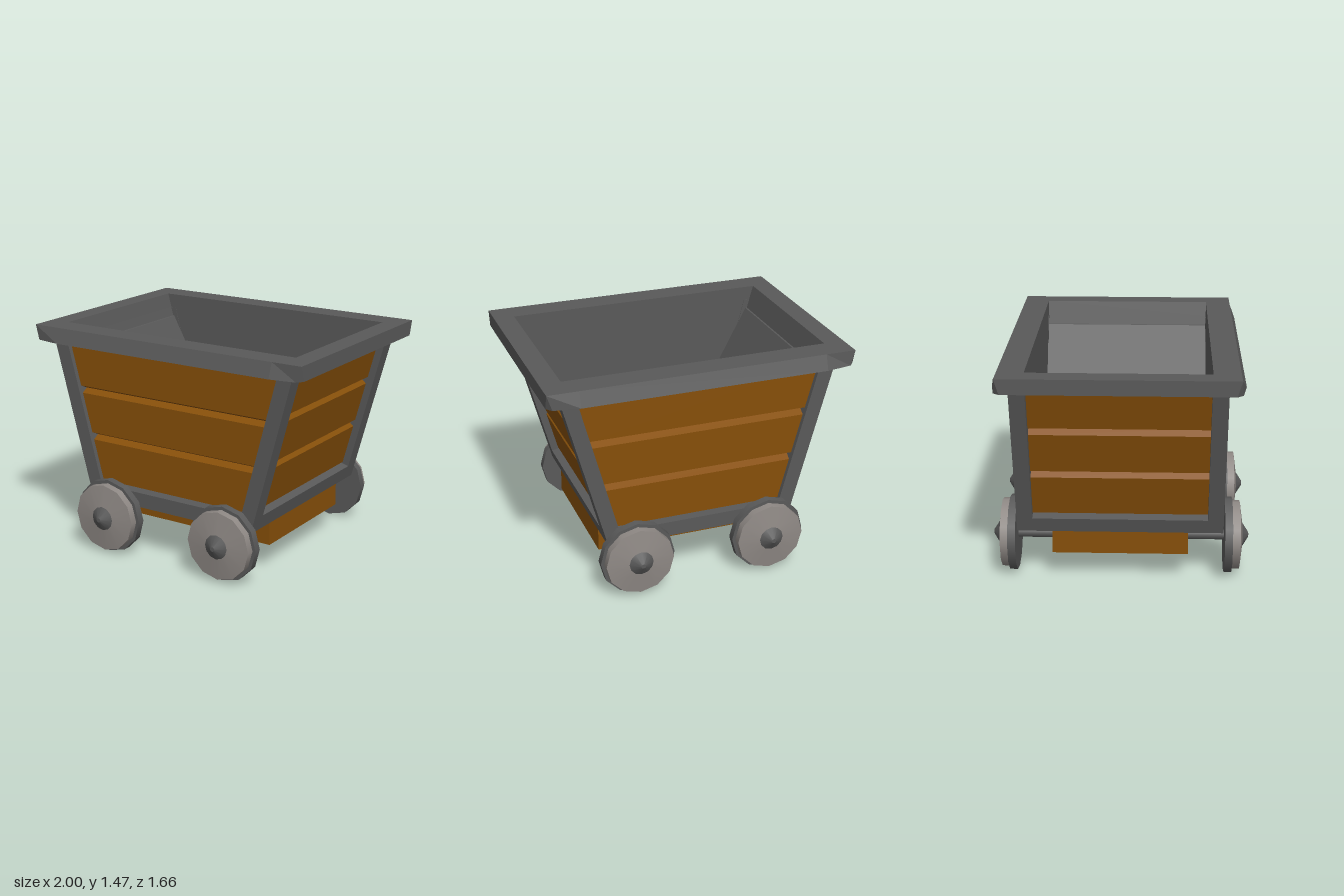
import * as THREE from 'three';

const GREY = new THREE.MeshStandardMaterial({ color: 0x595959 });
const BROWN = new THREE.MeshStandardMaterial({ color: 0x864f09 });
const STEEL = new THREE.MeshStandardMaterial({ color: 0x8f8985 });
GREY.name = 'iron grey';
BROWN.name = 'wood brown';
STEEL.name = 'wheel grey';

const TOP = 1.37, BASE = 0.33, SLANT = 0.27;
const outerX = (y) => 0.62 + (y - BASE) * SLANT; // sloping end of the tub

function add(parent, name, geometry, material) {
  const mesh = new THREE.Mesh(geometry, material);
  mesh.name = name;
  parent.add(mesh);
  return mesh;
}

// Flat-shaded surface from four-cornered faces
function quads(list) {
  const pos = [];
  for (const [a, b, c, d] of list) pos.push(...a, ...b, ...c, ...a, ...c, ...d);
  const g = new THREE.BufferGeometry();
  g.setAttribute('position', new THREE.Float32BufferAttribute(pos, 3));
  g.computeVertexNormals();
  return g;
}

// Prism: outline in x/y, swept from z0 to z1
function prism(points, z0, z1) {
  const shape = new THREE.Shape(points.map(([x, y]) => new THREE.Vector2(x, y)));
  return new THREE.ExtrudeGeometry(shape, { depth: z1 - z0, bevelEnabled: false }).translate(0, 0, z0);
}

// Plank wall profile: [height, groove depth], with V grooves at the given heights
function plankRows(grooves) {
  const rows = [[0.428, 0.05], [0.45, 0]];
  for (const y of grooves) rows.push([y - 0.024, 0], [y, 0.05], [y + 0.024, 0]);
  rows.push([TOP + 0.01, 0]);
  return rows;
}

function sidePlanks() {
  const rows = plankRows([0.741, 1.049]);
  const faces = [];
  for (let i = 0; i < rows.length - 1; i++) {
    const [y0, d0] = rows[i], [y1, d1] = rows[i + 1];
    const h0 = outerX(y0) - 0.08, h1 = outerX(y1) - 0.08, z0 = 0.63 - d0, z1 = 0.63 - d1;
    faces.push([[-h0, y0, z0], [h0, y0, z0], [h1, y1, z1], [-h1, y1, z1]]);
  }
  return quads(faces);
}

function endPlanks() {
  const pts = plankRows([0.745, 1.059]).map(([y, d]) => [outerX(y) - 0.05 - d, y + d * SLANT]);
  const faces = [];
  for (let i = 0; i < pts.length - 1; i++) {
    const [a, b] = [pts[i], pts[i + 1]];
    faces.push([[...a, 0.58], [...a, -0.58], [...b, -0.58], [...b, 0.58]]);
  }
  return quads(faces);
}

// Rim with a hole: square on top, flared sides and clipped corners below
function rimGeometry() {
  const corner = [[1, 0.7], [0.968, 0.738], [0.8, 0.765]];
  const mirrored = corner.map(([x, z]) => [-x, z]).reverse();
  const half = [...corner, ...mirrored];
  const outline = [...half, ...half.map(([x, z]) => [-x, -z])];
  const shape = new THREE.Shape(outline.map(([x, z]) => new THREE.Vector2(x, z)));
  const hole = [[-0.865, -0.563], [-0.865, 0.563], [0.865, 0.563], [0.865, -0.563]];
  shape.holes.push(new THREE.Path(hole.map(([x, z]) => new THREE.Vector2(x, z))));
  const g = new THREE.ExtrudeGeometry(shape, { depth: 0.097, bevelEnabled: false });
  g.rotateX(Math.PI / 2).translate(0, 1.467, 0);
  const p = g.attributes.position;
  for (let i = 0; i < p.count; i++) {
    const x = p.getX(i), z = p.getZ(i);
    if (p.getY(i) > 1.42) {
      if (Math.abs(z) > 0.69) p.setZ(i, Math.sign(z) * 0.73);
      if (Math.abs(x) > 0.9) p.setX(i, Math.sign(x));
    } else if (Math.abs(Math.abs(x) - 0.865) < 0.01) p.setX(i, Math.sign(x) * 0.837);
  }
  g.computeVertexNormals();
  return g;
}

// Wheel facing +z, centred on its axle
function makeWheel() {
  const wheel = new THREE.Group();
  wheel.name = 'wheel';
  const ring = (name, rIn, rOut, z0, z1, mat, open) =>
    add(wheel, name, new THREE.CylinderGeometry(rOut, rIn, z1 - z0, 12, 1, open)
      .rotateX(Math.PI / 2).translate(0, 0, (z0 + z1) / 2), mat);
  ring('wheelFlange', 0.247, 0.247, 0.67, 0.72, GREY, false);
  ring('wheelTread', 0.225, 0.225, 0.72, 0.77, STEEL, false);
  ring('wheelFace', 0.225, 0.08, 0.77, 0.789, STEEL, true);
  ring('wheelHub', 0.08, 0.015, 0.789, 0.83, GREY, false);
  return wheel;
}

export function createModel() {
  const model = new THREE.Group();
  model.name = 'mineCart';

  add(model, 'rim', rimGeometry(), GREY);
  add(model, 'tubFloor', quads([[[-0.34, 0.42, 0.563], [0.34, 0.42, 0.563], [0.34, 0.42, -0.563], [-0.34, 0.42, -0.563]]]), GREY);
  add(model, 'tubUnderside', new THREE.BoxGeometry(1.06, 0.03, 1.14).translate(0, BASE + 0.015, 0), GREY);
  add(model, 'chassis', new THREE.BoxGeometry(1.24, 0.15, 0.87).translate(0, 0.255, 0), BROWN);

  // Each half holds one long side and one end; the second is turned half round
  for (const turn of [0, Math.PI]) {
    const half = new THREE.Group();
    half.name = turn ? 'backHalf' : 'frontHalf';
    half.rotation.y = turn;
    model.add(half);

    add(half, 'sidePlanks', sidePlanks(), BROWN);
    add(half, 'endPlanks', endPlanks(), BROWN);

    // Sloping corner posts
    const t = outerX(TOP);
    for (const z of [-0.66, 0.56])
      add(half, 'cornerPost', prism([[0.52, BASE], [0.62, BASE], [t, TOP], [t - 0.103, TOP]], z, z + 0.1), GREY);

    // Bottom beams
    add(half, 'sideBeam', prism([[-0.53, BASE], [0.53, BASE], [0.555, 0.428], [-0.555, 0.428]], 0.56, 0.66), GREY);
    add(half, 'endBeam', prism([[0.52, BASE], [0.62, BASE], [outerX(0.427), 0.427], [0.55, 0.453]], -0.56, 0.56), GREY);

    // Tub lining: a steep upper lip, a small ledge, one sloping end and one upright side
    const lining = [[-0.34, 0.42], [-0.81, 1.31], [-0.82, 1.312], [-0.837, TOP]];
    const faces = [];
    for (let i = 0; i < lining.length - 1; i++) {
      const [a, b] = [lining[i], lining[i + 1]];
      faces.push([[...a, 0.563], [...a, -0.563], [...b, -0.563], [...b, 0.563]]);
      faces.push([[...a, -0.563], [-a[0], a[1], -0.563], [-b[0], b[1], -0.563], [...b, -0.563]]);
    }
    add(half, 'tubLining', quads(faces), GREY);

    // Wheels of this side
    for (const x of [-0.446, 0.446]) {
      const wheel = makeWheel();
      wheel.position.set(x, 0.247, 0);
      half.add(wheel);
    }
  }

  for (const x of [-0.446, 0.446])
    add(model, 'axle', new THREE.CylinderGeometry(0.036, 0.036, 1.36, 12)
      .rotateX(Math.PI / 2).translate(x, 0.247, 0), GREY);

  return model;
}
